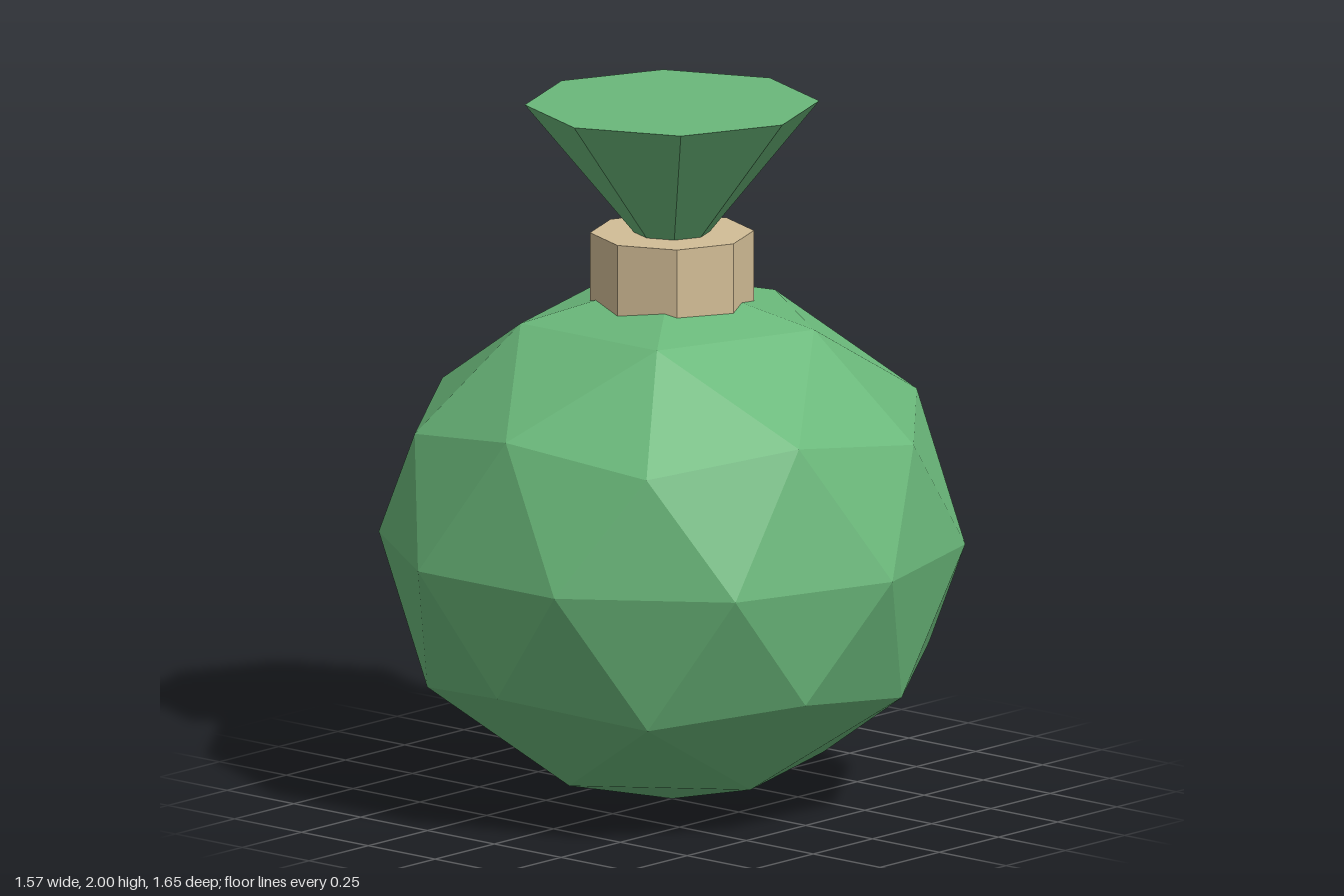
import * as THREE from 'three';

export function createModel() {
  const model = new THREE.Group();
  model.name = 'tiedSack';

  const cloth = new THREE.MeshStandardMaterial({ color: 0x6ab87a, flatShading: true });
  cloth.name = 'green cloth';
  const cord = new THREE.MeshStandardMaterial({ color: 0xd2bd96, flatShading: true });
  cord.name = 'tan cord';

  const add = (name, geometry, material, y) => {
    const mesh = new THREE.Mesh(geometry, material);
    mesh.name = name;
    mesh.position.y = y;
    model.add(mesh);
  };

  // Round sack: a faceted ball standing on one corner, slightly squashed
  const golden = (1 + Math.sqrt(5)) / 2;
  const ball = new THREE.IcosahedronGeometry(1, 1);
  ball.rotateZ(-Math.atan(1 / golden));
  ball.scale(0.825, 0.75, 0.825);
  add('sackBody', ball, cloth, 0.75);

  // Octagonal tie around the neck
  add('neckTie', new THREE.CylinderGeometry(0.23, 0.23, 0.23, 8), cord, 1.515);

  // Gathered cloth flaring out above the tie
  add('flaredTop', new THREE.CylinderGeometry(0.413, 0, 0.5, 8), cloth, 1.75);

  return model;
}
